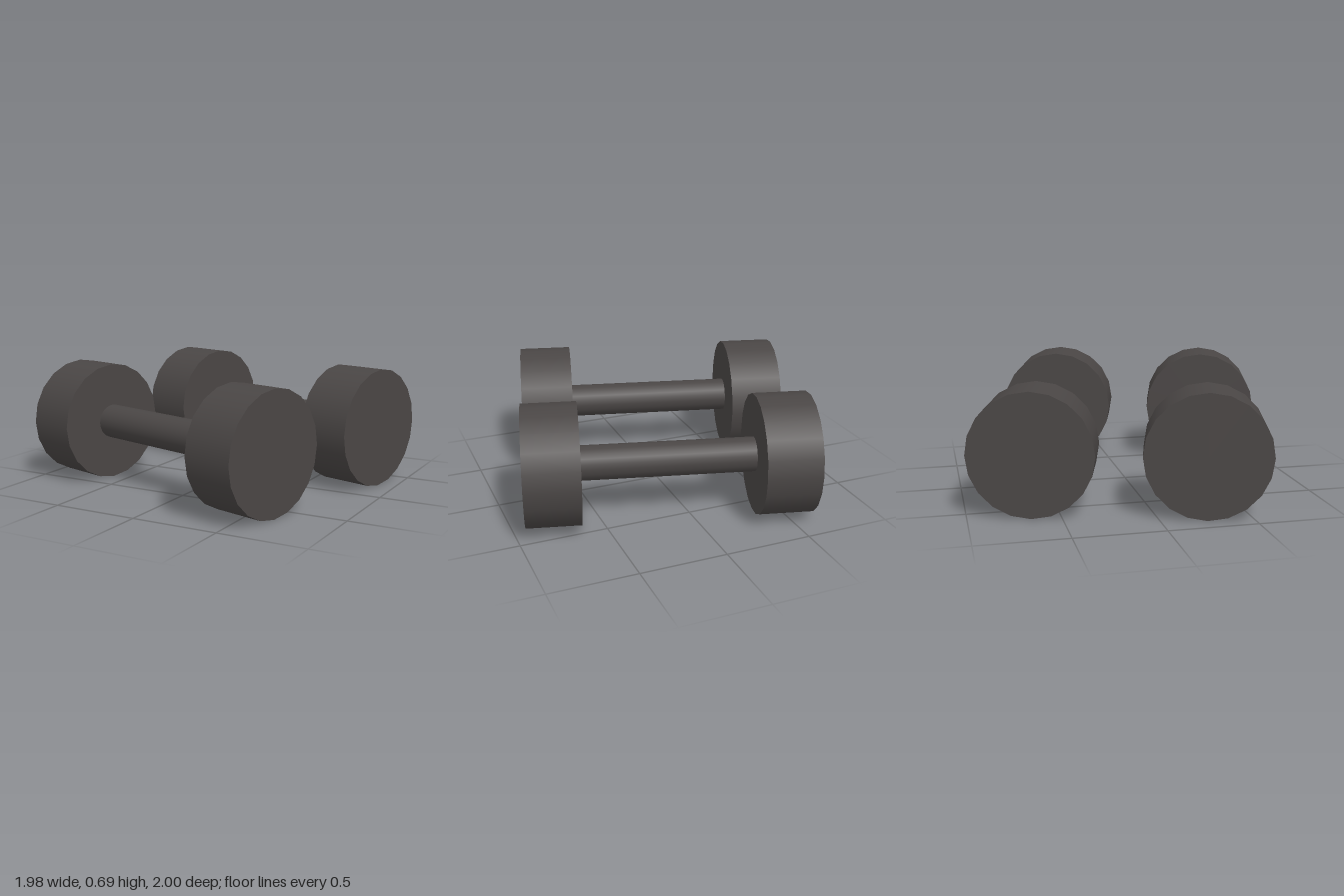
import * as THREE from 'three';

const HEAD_RADIUS = 0.347;
const HEAD_WIDTH = 0.31;
const HEAD_OFFSET = 0.652;
const BAR_RADIUS = 0.1;
const SIDES = 20;

export function createModel() {
  const iron = new THREE.MeshStandardMaterial({ color: 0x4a4645 });
  iron.name = 'dark iron';

  // Cylinders lying along x, shared by both dumbbells
  const headGeometry = new THREE.CylinderGeometry(HEAD_RADIUS, HEAD_RADIUS, HEAD_WIDTH, SIDES).rotateZ(Math.PI / 2);
  const barLength = 2 * HEAD_OFFSET - HEAD_WIDTH + 0.02;
  const barGeometry = new THREE.CylinderGeometry(BAR_RADIUS, BAR_RADIUS, barLength, SIDES).rotateZ(Math.PI / 2);

  function addPart(parent, name, geometry, x) {
    const mesh = new THREE.Mesh(geometry, iron);
    mesh.name = name;
    mesh.position.x = x;
    parent.add(mesh);
  }

  function createDumbbell(name, x, z) {
    const dumbbell = new THREE.Group();
    dumbbell.name = name;
    addPart(dumbbell, 'handle', barGeometry, 0);
    addPart(dumbbell, 'leftWeight', headGeometry, HEAD_OFFSET);
    addPart(dumbbell, 'rightWeight', headGeometry, -HEAD_OFFSET);
    dumbbell.position.set(x, HEAD_RADIUS, z);
    dumbbell.rotation.y = -Math.PI / 12;
    return dumbbell;
  }

  // Two parallel dumbbells resting side by side
  const model = new THREE.Group();
  model.name = 'dumbbellPair';
  model.add(createDumbbell('frontDumbbell', -0.12, 0.456));
  model.add(createDumbbell('backDumbbell', 0.12, -0.456));
  return model;
}
